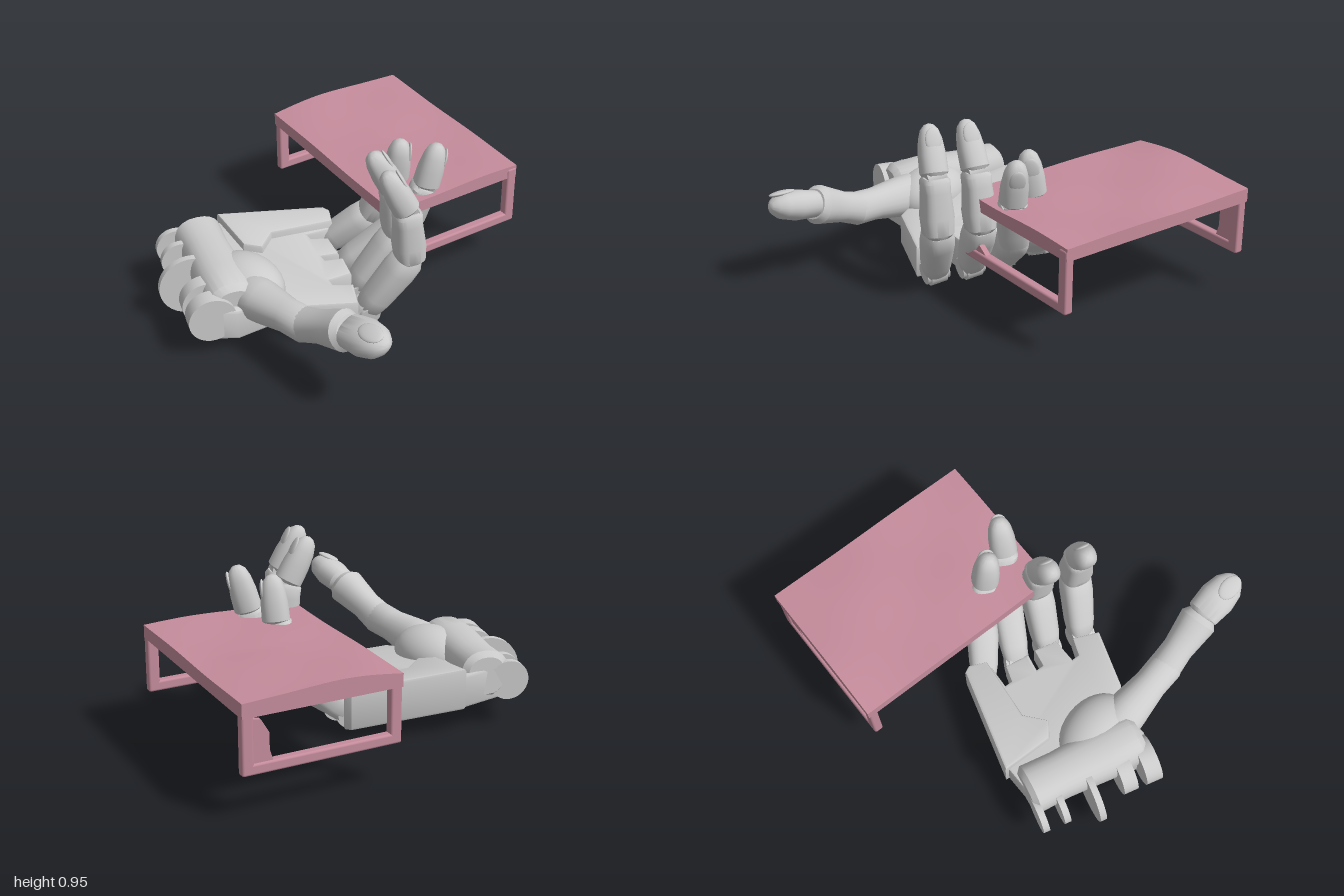
import * as THREE from 'three';
import { toCreasedNormals } from 'three/addons/utils/BufferGeometryUtils.js';
import { RoundedBoxGeometry } from 'three/addons/geometries/RoundedBoxGeometry.js';

const grey = new THREE.MeshStandardMaterial({ color: 0xcccccc });
const pink = new THREE.MeshStandardMaterial({ color: 0xd0a0b0 });
pink.color.set(0xc58c9c);

const V = (p) => new THREE.Vector3(...p);

function add(parent, name, geometry, material = grey) {
  const mesh = new THREE.Mesh(geometry, material);
  mesh.name = name;
  parent.add(mesh);
  return mesh;
}

// Matrix with y along a->b and x close to the given side direction
function frame(a, b, side) {
  const y = b.clone().sub(a).normalize();
  const z = V(side).cross(y).normalize();
  const x = y.clone().cross(z);
  return new THREE.Matrix4().makeBasis(x, y, z).setPosition(a);
}

// Tapered limb between two points; profile is [fraction of length, radius]
function limb(parent, name, a, b, profile, side, square = 0.75, depth = 1) {
  const A = V(a), B = V(b), len = A.distanceTo(B);
  const g = new THREE.LatheGeometry(profile.map(([t, r]) => new THREE.Vector2(r, t * len)), 24);
  const p = g.attributes.position;
  for (let i = 0; i < p.count; i++) {
    const x = p.getX(i), z = p.getZ(i), r = Math.hypot(x, z) || 1;
    const bend = (c) => Math.sign(c) * Math.pow(Math.abs(c / r), square) * r;
    p.setX(i, bend(x));
    p.setZ(i, bend(z) * depth);
  }
  g.applyMatrix4(frame(A, B, side));
  return add(parent, name, toCreasedNormals(g, 0.7));
}

// Cylinder centred at c along an axis
function disc(parent, name, c, axis, r, width) {
  const g = new THREE.CylinderGeometry(r, r, width, 32);
  g.applyQuaternion(new THREE.Quaternion().setFromUnitVectors(new THREE.Vector3(0, 1, 0), V(axis).normalize()));
  return add(parent, name, toCreasedNormals(g.translate(...c), 0.6));
}

// Nail plate lying on a fingertip, facing the normal n
function nail(parent, c, dir, n, size) {
  const g = new THREE.SphereGeometry(1, 20, 12).scale(size, size * 1.5, size * 0.3);
  const y = V(dir).normalize(), x = y.clone().cross(V(n)).normalize(), z = x.clone().cross(y);
  g.applyMatrix4(new THREE.Matrix4().makeBasis(x, y, z).setPosition(V(c)));
  add(parent, 'nail', g);
}

// Slab cut from an outline in x and z, sloping down toward the fingers
function slab(parent, name, outline, thickness) {
  const bevel = 0.015;
  const shape = new THREE.Shape(outline.map(([x, z]) => new THREE.Vector2(x, -z)));
  const g = new THREE.ExtrudeGeometry(shape, {
    depth: thickness - 2 * bevel, bevelThickness: bevel, bevelSize: bevel, bevelOffset: -bevel, bevelSegments: 2,
  });
  g.rotateX(-Math.PI / 2);
  const p = g.attributes.position;
  for (let i = 0; i < p.count; i++) {
    p.setY(i, p.getY(i) + bevel + 0.02 - 0.09 * p.getX(i) + 0.1 * (0.27 - p.getZ(i)));
  }
  return add(parent, name, toCreasedNormals(g, 0.5));
}

const PHALANX = [[0, 0], [0, 0.045], [0.06, 0.066], [0.25, 0.076], [0.75, 0.084], [0.95, 0.08], [1.04, 0.06], [1.07, 0]];
const MIDDLE = [[-0.12, 0], [-0.1, 0.05], [0, 0.078], [0.3, 0.084], [0.75, 0.073], [0.93, 0.074], [1, 0.06], [1, 0]];
const TIP = [[0, 0], [0, 0.058], [0.06, 0.072], [0.4, 0.07], [0.7, 0.06], [0.88, 0.045], [0.97, 0.024], [1, 0]];

// Finger from knuckle, knee, last joint and tip
function finger(parent, name, [k, a, b, t], side) {
  const f = new THREE.Group();
  f.name = name;
  parent.add(f);
  disc(f, 'knuckle', k, side, 0.07, 0.09);
  for (const s of [-1, 1]) {
    const c = V(k).addScaledVector(V(side).normalize(), s * 0.055);
    disc(f, 'knuckleFork', c.toArray(), side, 0.058, 0.018);
  }
  limb(f, 'lowerSegment', k, a, PHALANX, side, 0.7);
  limb(f, 'middleSegment', a, b, MIDDLE, side, 0.7);
  disc(f, 'fingerJoint', b, side, 0.05, 0.1);
  limb(f, 'fingertip', b, t, TIP, side, 0.85);
  const dir = V(t).sub(V(b));
  const out = V(side).cross(dir).normalize().multiplyScalar(-1);
  if (out.x < 0) out.negate();
  const c = V(b).addScaledVector(dir, 0.66).addScaledVector(out, 0.054);
  nail(f, c.toArray(), dir.toArray(), out.toArray(), 0.042);
}

function buildHand() {
  const hand = new THREE.Group();
  hand.name = 'hand';

  // Palm plate with slots between the knuckles
  slab(hand, 'palm', [
    [-0.86, 0.07], [-0.73, 0.12], [-0.5, 0.1], [-0.45, 0.2], [-0.13, 0.31], [-0.07, 0.17], [-0.17, 0.13], [-0.17, 0.09],
    [-0.03, 0.09], [0, -0.04], [-0.1, -0.06], [-0.1, -0.1], [0, -0.08], [0.02, -0.22], [-0.07, -0.25], [-0.07, -0.29],
    [0.08, -0.28], [0.11, -0.38], [-0.44, -0.57], [-0.69, -0.57],
  ], 0.18);
  slab(hand, 'outerPalmPad', [
    [-0.46, -0.59], [0.11, -0.42], [0.13, -0.38], [0.09, -0.29], [-0.27, -0.33], [-0.38, -0.24], [-0.46, -0.3],
  ], 0.225);

  // Wrist hinge: prongs and flat discs on one slanted axis
  const axis = [-0.25, 0, 0.97];
  const hinge = (s) => [-0.79 - 0.25 * s, 0.255 - 0.03 * s, -0.29 + 0.97 * s];
  disc(hand, 'wristDisc', hinge(0).map((v, i) => (i === 1 ? 0.22 : v)), axis, 0.17, 0.035);
  for (const s of [-0.18, -0.3]) {
    const [x, y, z] = hinge(s);
    disc(hand, 'wristSideDisc', [x - 0.01, y, z], axis, 0.105, 0.035);
  }
  for (const [s, w, r] of [[0.335, 0.09, 0.125], [0.2, 0.08, 0.125]]) {
    const [x, y, z] = hinge(s);
    disc(hand, 'wristProng', [x + 0.03, y, z], axis, r, w);
  }
  limb(hand, 'wristRidge', [-0.6, 0.3, -0.57], [-0.73, 0.28, 0.08],
    [[0, 0], [0, 0.1], [0.04, 0.13], [0.3, 0.125], [0.7, 0.14], [0.95, 0.13], [1, 0.1], [1, 0]], [1, 0, 0], 0.85);

  // Thumb mound, segments and nail
  const mound = new THREE.SphereGeometry(1, 32, 20).scale(0.17, 0.15, 0.23);
  add(hand, 'thumbMound', mound.rotateY(0.25).translate(-0.57, 0.27, -0.08));
  const thumb = new THREE.Group();
  thumb.name = 'thumb';
  hand.add(thumb);
  const side = [0.9, 0.4, 0];
  limb(thumb, 'thumbBase', [-0.61, 0.27, 0], [-0.53, 0.32, 0.44],
    [[-0.1, 0], [-0.06, 0.09], [0.1, 0.118], [0.3, 0.11], [0.7, 0.088], [1, 0.09], [1.1, 0.07], [1.13, 0]], side, 0.9);
  limb(thumb, 'thumbMiddle', [-0.53, 0.32, 0.43], [-0.46, 0.45, 0.73],
    [[-0.1, 0], [-0.08, 0.06], [0, 0.088], [0.35, 0.082], [0.7, 0.095], [0.9, 0.103], [1, 0.08], [1, 0]], side, 0.9);
  limb(thumb, 'thumbTip', [-0.46, 0.45, 0.72], [-0.425, 0.52, 1],
    [[0, 0], [0, 0.07], [0.06, 0.09], [0.45, 0.1], [0.75, 0.084], [0.9, 0.055], [0.98, 0.025], [1, 0]], side, 0.9, 0.8);
  nail(thumb, [-0.46, 0.56, 0.91], [0.04, 0.02, 0.28], [-0.35, 0.92, -0.05], 0.05);

  // Four fingers, the outer two reaching through the table
  finger(hand, 'indexFinger', [[-0.045, 0.09, 0.25], [0.15, 0.42, 0.36], [0.125, 0.72, 0.36], [0.015, 0.96, 0.32]], [-0.2, -0.15, 1]);
  finger(hand, 'middleFinger', [[0.01, 0.09, 0.06], [0.225, 0.42, 0.15], [0.185, 0.72, 0.15], [0.06, 0.955, 0.13]], [-0.2, -0.15, 1]);
  finger(hand, 'ringFinger', [[0.04, 0.1, -0.13], [0.35, 0.37, 0.03], [0.43, 0.62, 0.1], [0.49, 0.865, 0.12]], [-0.5, -0.1, 0.9]);
  finger(hand, 'littleFinger', [[0.07, 0.14, -0.33], [0.27, 0.34, -0.18], [0.36, 0.6, -0.08], [0.365, 0.845, -0.04]], [-0.5, -0.1, 0.9]);
  return hand;
}

function buildTable() {
  const table = new THREE.Group();
  table.name = 'table';
  const bar = (name, w, h, d, x, y, z) =>
    add(table, name, new RoundedBoxGeometry(w, h, d, 3, 0.012).translate(x, y, z), pink);

  // Slightly warped top
  const top = new THREE.BoxGeometry(0.82, 0.07, 1.18, 24, 1, 32);
  const p = top.attributes.position;
  for (let i = 0; i < p.count; i++) {
    const x = p.getX(i), z = p.getZ(i);
    const lift = Math.max(0, -z / 0.59) * Math.cos((x / 0.41) * Math.PI / 2);
    if (p.getY(i) > 0) p.setY(i, p.getY(i) + 0.025 * lift - 0.005 * Math.sin(x * 9) * Math.sin(z * 8));
  }
  add(table, 'tabletop', toCreasedNormals(top.translate(0.56, 0.57, -0.4), 0.6), pink);

  // Leg frames at both ends
  for (const z of [0.17, -0.96]) {
    for (const x of [0.18, 0.94]) bar('leg', 0.06, 0.34, 0.05, x, 0.42, z);
    bar('footRail', 0.82, 0.055, 0.05, 0.56, 0.277, z);
  }

  // Corner braces
  const brace = (name, pts, z) => {
    const s = new THREE.Shape(pts.map(([x, y]) => new THREE.Vector2(x, y)));
    add(table, name, new THREE.ExtrudeGeometry(s, { depth: 0.03, bevelEnabled: false }).translate(0, 0, z), pink);
  };
  brace('frontBrace', [[0.2, 0.29], [0.34, 0.29], [0.27, 0.34], [0.2, 0.42]], 0.155);
  brace('backBrace', [[0.81, 0.29], [0.92, 0.29], [0.92, 0.52], [0.87, 0.51], [0.83, 0.44], [0.83, 0.36]], -0.975);
  return table;
}

export function createModel() {
  const model = new THREE.Group();
  model.name = 'handHoldingTable';
  model.add(buildHand(), buildTable());
  return model;
}
